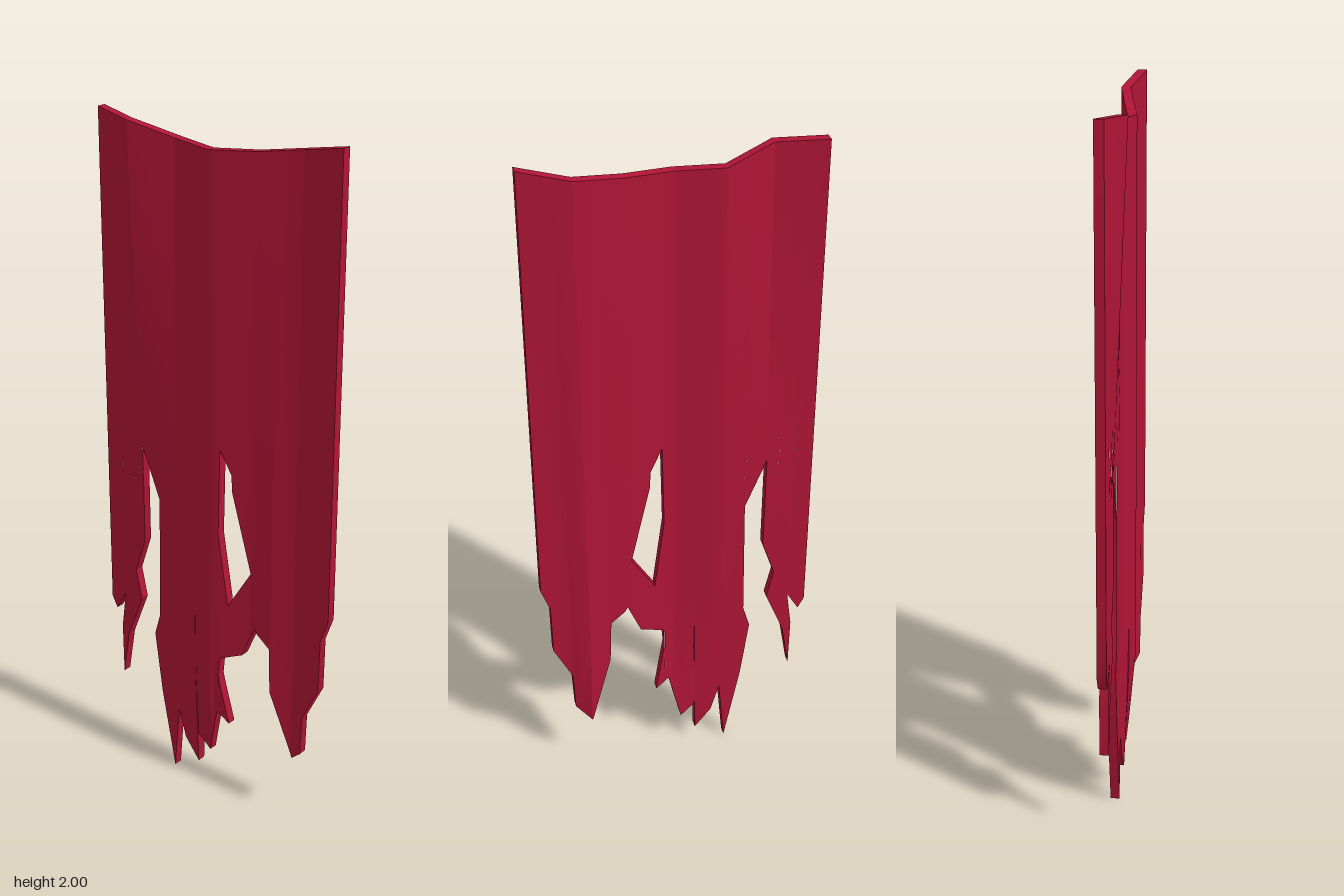
import * as THREE from 'three';
import { toCreasedNormals } from 'three/addons/utils/BufferGeometryUtils.js';

// Cloth silhouette as [z, y]: wavy top edge, then the ragged hem
const outline = [
  [0.395, 2], [0.26, 1.97], [0.13, 1.95], [0, 1.94], [-0.13, 1.945], [-0.26, 1.98], [-0.393, 1.99],
  [-0.393, 0.51], [-0.375, 0.475], [-0.34, 0.535], [-0.355, 0.42], [-0.353, 0.26], [-0.33, 0.4],
  [-0.275, 0.54], [-0.295, 0.63], [-0.258, 0.74], [-0.26, 1.04], [-0.2, 0.89], [-0.205, 0.51],
  [-0.225, 0.44], [-0.2, 0.25], [-0.153, 0], [-0.135, 0.21], [-0.11, 0.12], [-0.06, 0.055],
  [-0.058, 0.155], [-0.015, 0.115], [0.02, 0.27], [0.06, 0.24], [0.03, 0.4], [0.035, 0.46],
  [0.105, 0.49], [0.145, 0.59], [0.152, 0.575], [0.195, 0.54], [0.2, 0.4], [0.265, 0.19],
  [0.31, 0.235], [0.315, 0.36], [0.368, 0.47], [0.37, 0.63], [0.395, 0.7],
];
const tear = [[0.035, 1.12], [0.07, 1.05], [0.072, 1], [0.13, 0.76], [0.06, 0.64], [0.03, 0.86]];
const THICK = 0.026;
const ROWS = 8;

const clamp = THREE.MathUtils.clamp;
const lerp = THREE.MathUtils.lerp;
const tent = (z, a, peak, b) => Math.max(0, Math.min((z - a) / (peak - a), (b - z) / (b - peak)));

// Middle of the cloth: three vertical folds, which fade towards the hem
function foldX(z, y) {
  const outer = -0.039 * tent(z, -0.393, -0.26, -0.13) * clamp((y - 1.04) / 0.94, 0, 1);
  const centre = -0.026 * tent(z, -0.13, 0, 0.13) * clamp((y - 0.12) / 0.26, 0, 1);
  const t = clamp((y - 0.2) / 1.77, 0, 1);
  const ridge = 0.027 * lerp(tent(z, 0.2, 0.263, 0.315), tent(z, 0.13, 0.262, 0.395), t);
  return 0.005 + outer + centre + ridge;
}

function clothGeometry() {
  const pos = [];
  const vert = (z, y, side) => [foldX(z, y) + side * THICK / 2, y, z];
  const quad = (a, b, c, d) => pos.push(...a, ...b, ...c, ...a, ...c, ...d);

  const edges = [outline, tear].flatMap(loop => loop.map((p, i) => [p, loop[(i + 1) % loop.length]]));
  const yAt = ([a, b], z) => lerp(a[1], b[1], (z - a[0]) / (b[0] - a[0]));
  const cuts = [...new Set([...outline, ...tear].map(p => p[0]))].sort((a, b) => a - b);

  // Slice the silhouette into columns, each holding one or more solid spans
  for (let i = 0; i + 1 < cuts.length; i++) {
    const z0 = cuts[i], z1 = cuts[i + 1], mid = (z0 + z1) / 2;
    const hits = edges
      .filter(([a, b]) => (a[0] - mid) * (b[0] - mid) < 0)
      .sort((e, f) => yAt(e, mid) - yAt(f, mid));
    for (let k = 0; k + 1 < hits.length; k += 2) {
      const low = hits[k], high = hits[k + 1];
      const at = (z, r, side) => vert(z, lerp(yAt(low, z), yAt(high, z), r / ROWS), side);
      for (let r = 0; r < ROWS; r++) {
        // outer and inner faces
        quad(at(z1, r, 1), at(z0, r, 1), at(z0, r + 1, 1), at(z1, r + 1, 1));
        quad(at(z0, r, -1), at(z1, r, -1), at(z1, r + 1, -1), at(z0, r + 1, -1));
        // straight side edges
        if (i === 0) quad(at(z0, r, 1), at(z0, r, -1), at(z0, r + 1, -1), at(z0, r + 1, 1));
        if (i === cuts.length - 2) quad(at(z1, r, -1), at(z1, r, 1), at(z1, r + 1, 1), at(z1, r + 1, -1));
      }
      // upper and lower rims of the span
      quad(at(z1, ROWS, -1), at(z1, ROWS, 1), at(z0, ROWS, 1), at(z0, ROWS, -1));
      quad(at(z0, 0, -1), at(z0, 0, 1), at(z1, 0, 1), at(z1, 0, -1));
    }
  }
  const geometry = new THREE.BufferGeometry();
  geometry.setAttribute('position', new THREE.Float32BufferAttribute(pos, 3));
  return toCreasedNormals(geometry, 0.5);
}

export function createModel() {
  const group = new THREE.Group();
  group.name = 'tornBanner';
  const cloth = new THREE.Mesh(clothGeometry(), new THREE.MeshStandardMaterial({ color: 0xb01535 }));
  cloth.name = 'cloth';
  group.add(cloth);
  return group;
}
